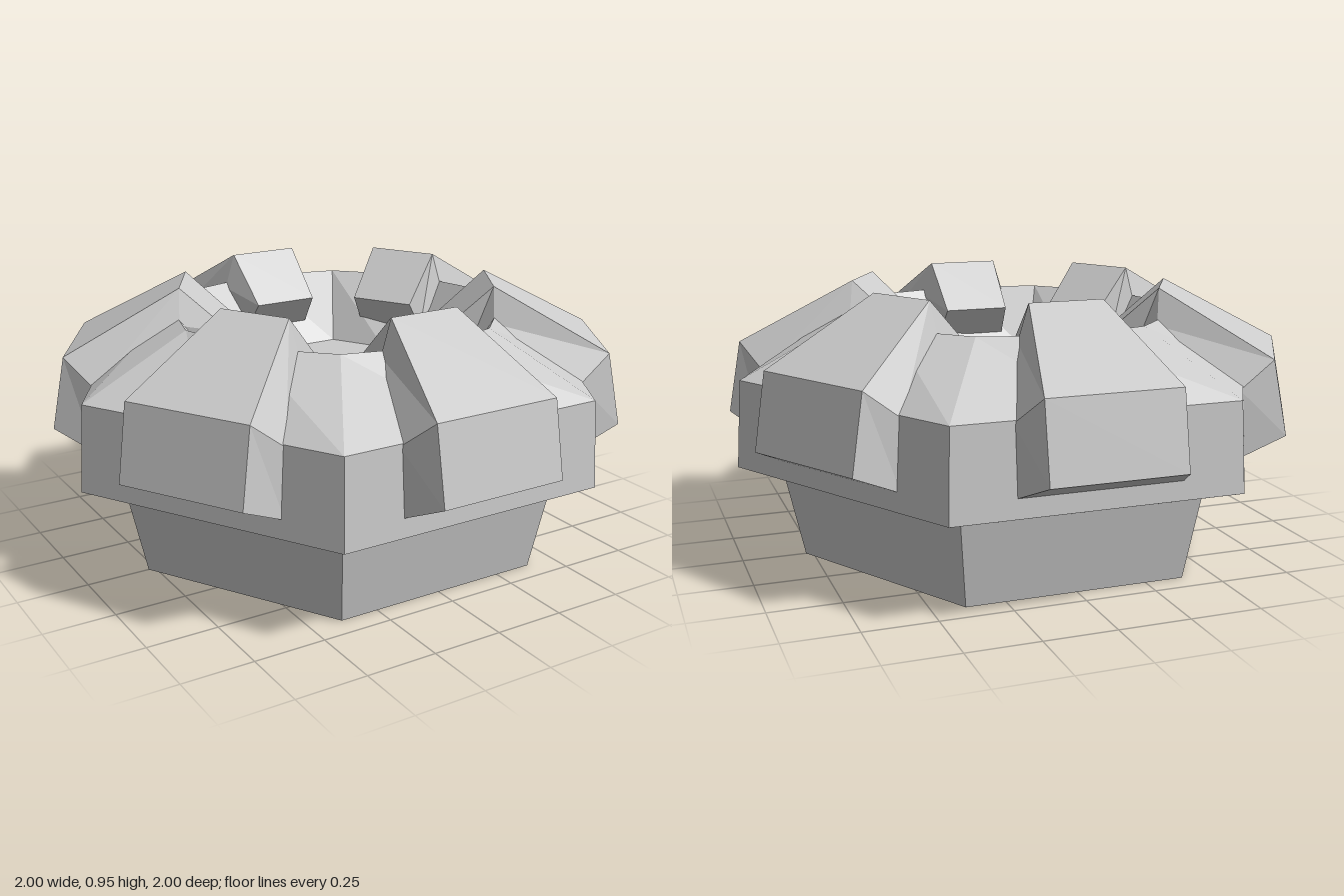
import * as THREE from 'three';

const material = new THREE.MeshStandardMaterial({ color: 0xcccccc, flatShading: true });

// Skin a series of equal-length closed loops and cap both ends
function loft(loops) {
  const pos = [];
  const tri = (...pts) => pts.forEach((p) => pos.push(p.x, p.y, p.z));
  const n = loops[0].length;
  const centre = (loop) =>
    loop.reduce((s, p) => s.add(p), new THREE.Vector3()).divideScalar(n);
  const first = loops[0], last = loops[loops.length - 1];
  const c0 = centre(first), c1 = centre(last);
  for (let j = 0; j < n; j++) {
    const k = (j + 1) % n;
    for (let i = 0; i < loops.length - 1; i++) {
      const a = loops[i][j], b = loops[i][k];
      const c = loops[i + 1][k], d = loops[i + 1][j];
      tri(a, d, c);
      tri(a, c, b);
    }
    tri(c0, first[j], first[k]);
    tri(c1, last[k], last[j]);
  }
  const geo = new THREE.BufferGeometry();
  geo.setAttribute('position', new THREE.Float32BufferAttribute(pos, 3));
  geo.computeVertexNormals();
  return geo;
}

// Twelve-point ring; a hexagon keeps its extra points on the side midpoints
function ring(radius, y, hexagon = true) {
  return Array.from({ length: 12 }, (_, i) => {
    const t = (i * Math.PI) / 6;
    const r = hexagon && i % 2 ? radius * Math.cos(Math.PI / 6) : radius;
    return new THREE.Vector3(r * Math.cos(t), y, r * Math.sin(t));
  });
}

// Claw stations from inner tip to outer underside:
// outer [z, y, halfWidth], then the base buried in the body
const clawStations = [
  [[0.37, 0.79, 0.12], [0.45, 0.68, 0.13]],
  [[0.55, 0.955, 0.13], [0.55, 0.83, 0.168]],
  [[0.95, 0.737, 0.23], [0.84, 0.64, 0.287]],
  [[1.0, 0.475, 0.23], [0.85, 0.405, 0.285]],
];

export function createModel() {
  const model = new THREE.Group();
  model.name = 'clawedSetting';

  // Hexagonal body: foot, overhanging band, sloped shoulder, round rim, sunken floor
  const body = new THREE.Mesh(loft([
    ring(0.775, 0),
    ring(0.84, 0.295),
    ring(1.0, 0.345),
    ring(0.98, 0.652),
    ring(0.595, 0.85, false),
    ring(0.45, 0.6),
  ]), material);
  body.name = 'body';
  model.add(body);

  // Six claws, one over each flat side
  const clawGeometry = loft(clawStations.map(([[z, y, w], [bz, by, bw]]) => [
    new THREE.Vector3(-w, y, z),
    new THREE.Vector3(w, y, z),
    new THREE.Vector3(bw, by, bz),
    new THREE.Vector3(-bw, by, bz),
  ]));
  for (let i = 0; i < 6; i++) {
    const claw = new THREE.Mesh(clawGeometry, material);
    claw.name = `claw${i + 1}`;
    claw.rotation.y = (i * Math.PI) / 3;
    model.add(claw);
  }
  return model;
}
